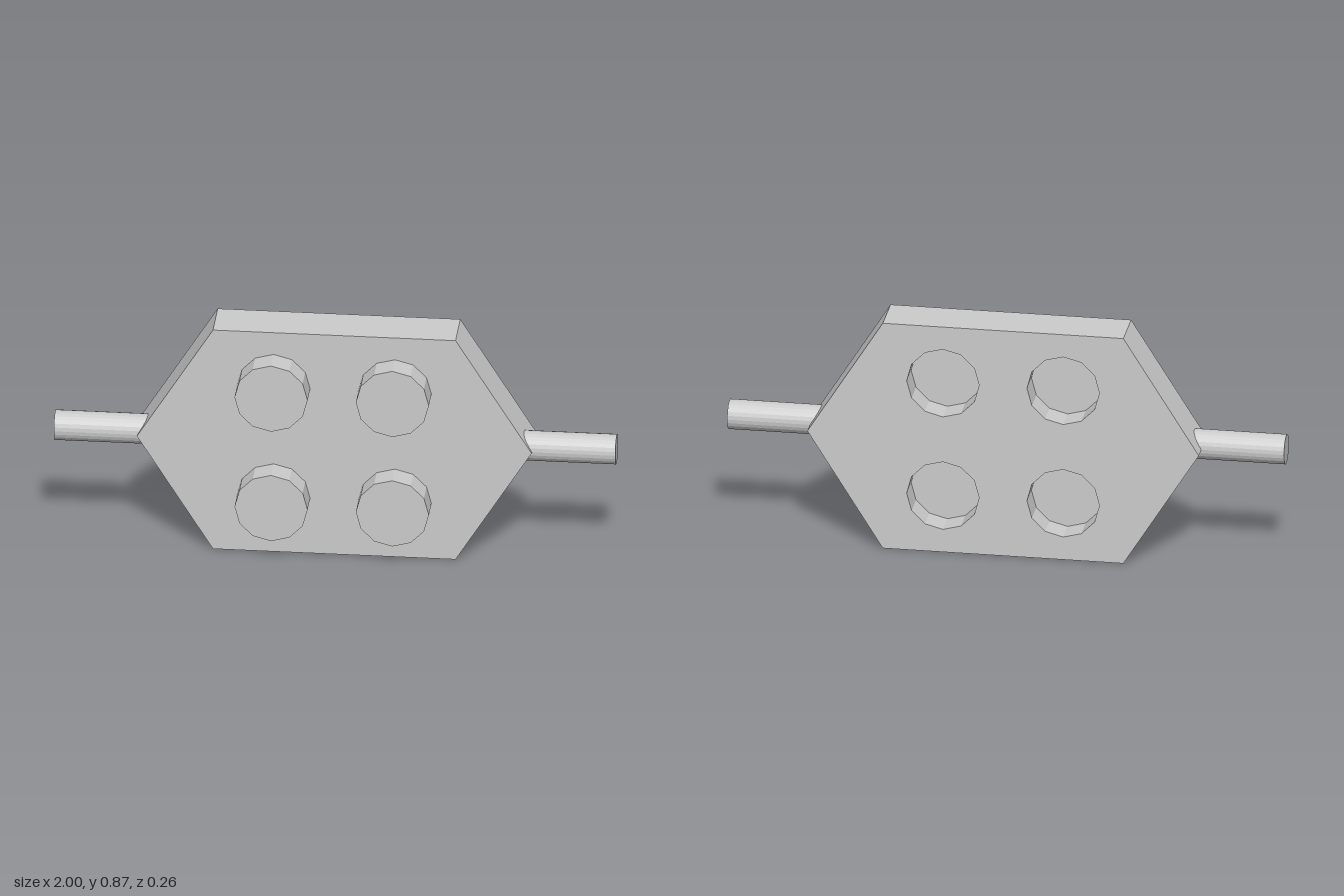
import * as THREE from 'three';

const BACK = -0.132, FRONT = 0.04, TIP = 0.133; // z levels of plate and pegs
const FLOOR = -0.034;                            // z of the socket floors
const MID = 0.433, PEG_R = 0.13;

export function createModel() {
  const model = new THREE.Group();
  const material = new THREE.MeshStandardMaterial({ color: 0xcccccc, flatShading: true });
  const add = (name, geometry, x = 0, y = 0, z = 0) => {
    const mesh = new THREE.Mesh(geometry, material);
    mesh.name = name;
    mesh.position.set(x, y, z);
    model.add(mesh);
    return mesh;
  };

  // Peg centres in a 2 x 2 grid
  const centres = [];
  for (const x of [-0.216, 0.216]) for (const y of [0.217, 0.65]) centres.push([x, y]);

  // Six-sided plate with a twelve-sided opening at each peg
  const outline = [[-0.432, 0], [0.432, 0], [0.703, MID], [0.432, 0.866], [-0.432, 0.866], [-0.703, MID]];
  const shape = new THREE.Shape(outline.map(([x, y]) => new THREE.Vector2(x, y)));
  for (const [cx, cy] of centres) {
    const ring = [];
    for (let i = 0; i < 12; i++) {
      const a = -i * Math.PI / 6;
      ring.push(new THREE.Vector2(cx + PEG_R * Math.cos(a), cy + PEG_R * Math.sin(a)));
    }
    shape.holes.push(new THREE.Path(ring));
  }
  add('plate', new THREE.ExtrudeGeometry(shape, { depth: FRONT - BACK, bevelEnabled: false }), 0, 0, BACK);

  // Pegs fill the openings from the socket floor and stand out at the front
  for (const [x, y] of centres) {
    const peg = new THREE.CylinderGeometry(PEG_R, PEG_R, TIP - FLOOR, 12);
    add('peg', peg.rotateX(Math.PI / 2), x, y, (TIP + FLOOR) / 2);
  }

  // Round rods reaching out from the pointed ends
  for (const side of [1, -1]) {
    const rod = new THREE.CylinderGeometry(0.054, 0.054, 0.38, 24);
    add(side > 0 ? 'leftRod' : 'rightRod', rod.rotateZ(Math.PI / 2), side * 0.81, MID, -0.023);
  }
  return model;
}
